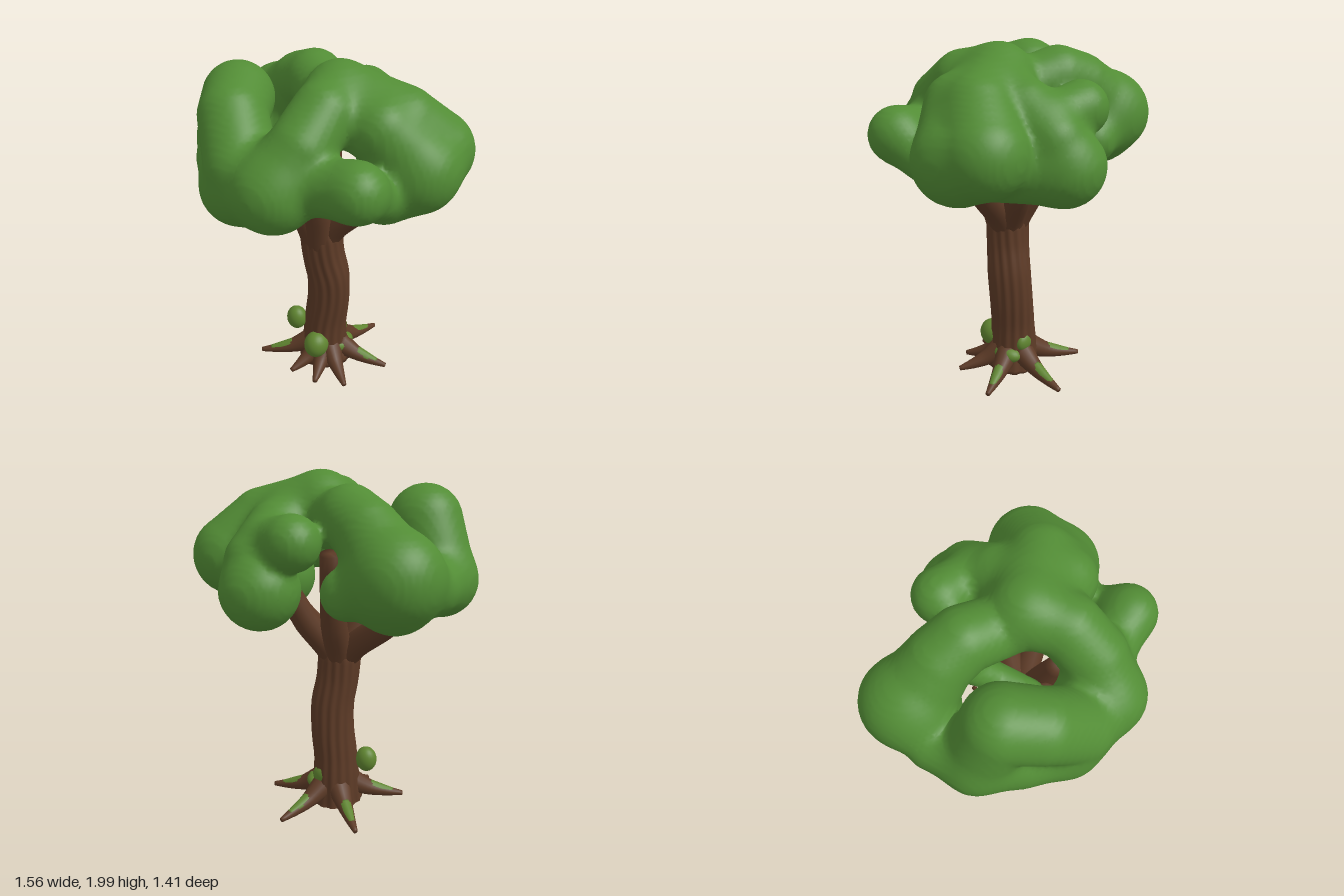
import * as THREE from 'three';

const V = (x, y, z) => new THREE.Vector3(x, y, z);
const bark = new THREE.MeshStandardMaterial({ color: 0x5c3a26 });
const leaf = new THREE.MeshStandardMaterial({ color: 0x528c35 });
const mossGreen = new THREE.MeshStandardMaterial({ color: 0x5f8430 });

function buildGeometry(positions, indices) {
  const g = new THREE.BufferGeometry();
  g.setAttribute('position', new THREE.Float32BufferAttribute(positions, 3));
  g.setIndex(indices);
  g.computeVertexNormals();
  return g;
}

// Tapered limb swept along a curve; nodes are [x, y, z, radius], groove = depth of bark ridges
function limb(nodes, { sides = 14, rings = 14, groove = 0 } = {}) {
  const curve = new THREE.CatmullRomCurve3(nodes.map(n => V(n[0], n[1], n[2])));
  const { normals, binormals } = curve.computeFrenetFrames(rings);
  const pos = [], idx = [];
  const ring = (i, scale) => {
    const t = i / rings, u = t * (nodes.length - 1), k = Math.min(Math.floor(u), nodes.length - 2);
    const c = curve.getPoint(t);
    const r = THREE.MathUtils.lerp(nodes[k][3], nodes[k + 1][3], u - k) * scale;
    for (let j = 0; j < sides; j++) {
      const a = j / sides * Math.PI * 2;
      const ridge = groove * scale * (Math.cos(a * 15 + Math.sin(t * 9)) + 0.6 * Math.sin(a * 4 + t * 5));
      const p = c.clone().addScaledVector(normals[i], Math.cos(a) * (r + ridge))
        .addScaledVector(binormals[i], Math.sin(a) * (r + ridge));
      pos.push(p.x, Math.max(0.01, p.y), p.z);
    }
  };
  ring(0, 0);
  for (let i = 0; i <= rings; i++) ring(i, 1);
  ring(rings, 0);
  for (let i = 0; i < rings + 2; i++) for (let j = 0; j < sides; j++) {
    const a = i * sides + j, b = i * sides + (j + 1) % sides;
    idx.push(a, b, b + sides, a, b + sides, a + sides);
  }
  return buildGeometry(pos, idx);
}

// Distance to a capsule whose ends are [x, y, z, radius]
function capsule(x, y, z, a, b) {
  const dx = b[0] - a[0], dy = b[1] - a[1], dz = b[2] - a[2];
  const px = x - a[0], py = y - a[1], pz = z - a[2];
  const t = Math.min(1, Math.max(0, (px * dx + py * dy + pz * dz) / (dx * dx + dy * dy + dz * dz)));
  return Math.hypot(px - dx * t, py - dy * t, pz - dz * t) - (a[3] + (b[3] - a[3]) * t);
}

// Skin of softly merged capsule chains, meshed on a regular grid
function blobs(runs, min, max, h, soft) {
  const n = [0, 1, 2].map(i => Math.ceil((max[i] - min[i]) / h) + 1);
  const step = [1, n[0], n[0] * n[1]];
  const field = new Float32Array(n[0] * n[1] * n[2]).fill(1);
  const each = (start, fn) => {
    for (let k = start; k < n[2] - 1; k++) for (let j = start; j < n[1] - 1; j++)
      for (let i = start; i < n[0] - 1; i++) fn(i, j, k, i + j * step[1] + k * step[2]);
  };
  each(0, (i, j, k, id) => {
    let d = 1;
    for (const run of runs) {
      let e = 1;
      for (let s = 1; s < run.length; s++)
        e = Math.min(e, capsule(min[0] + i * h, min[1] + j * h, min[2] + k * h, run[s - 1], run[s]));
      const m = Math.max(soft - Math.abs(d - e), 0) / soft;
      d = Math.min(d, e) - m * m * soft / 4;
    }
    field[id] = d;
  });
  // one vertex per crossed cell
  const pos = [], idx = [], cell = new Int32Array(field.length).fill(-1);
  each(0, (i, j, k, id) => {
    const sum = [0, 0, 0];
    let count = 0;
    for (let c = 0; c < 8; c++) for (let ax = 0; ax < 3; ax++) {
      if (c >> ax & 1) continue;
      const o = [c & 1, c >> 1 & 1, c >> 2 & 1];
      const p = id + o[0] + o[1] * step[1] + o[2] * step[2];
      const f = field[p], g = field[p + step[ax]];
      if ((f < 0) === (g < 0)) continue;
      o[ax] = f / (f - g);
      for (let q = 0; q < 3; q++) sum[q] += o[q];
      count++;
    }
    if (!count) return;
    cell[id] = pos.length / 3;
    [i, j, k].forEach((v, q) => pos.push(min[q] + (v + sum[q] / count) * h));
  });
  // one quad per crossed grid edge
  each(1, (i, j, k, id) => {
    for (let ax = 0; ax < 3; ax++) {
      const inside = field[id] < 0;
      if (inside === (field[id + step[ax]] < 0)) continue;
      const b = step[(ax + 1) % 3], c = step[(ax + 2) % 3];
      const q = [cell[id], cell[id - b], cell[id - b - c], cell[id - c]];
      if (!inside) q.reverse();
      idx.push(q[0], q[1], q[2], q[0], q[2], q[3]);
    }
  });
  return buildGeometry(pos, idx);
}

export function createModel() {
  const tree = new THREE.Group();
  tree.name = 'tree';
  const add = (name, geometry, material) => {
    const m = new THREE.Mesh(geometry, material);
    m.name = name;
    tree.add(m);
    return m;
  };

  // Swaying grooved trunk
  add('trunk', limb([
    [0, 0.01, -0.04, 0.16], [-0.01, 0.12, -0.05, 0.14], [-0.005, 0.3, -0.048, 0.129], [0.015, 0.48, -0.048, 0.128],
    [0.02, 0.64, -0.038, 0.127], [0, 0.8, -0.015, 0.122], [-0.01, 0.95, -0.005, 0.122], [-0.01, 1.08, 0, 0.09],
  ], { sides: 90, rings: 40, groove: 0.004 }), bark);

  // Branches reaching into the leaves
  [[-0.54, 1.34, -0.1], [0.42, 1.36, -0.06], [-0.12, 1.44, 0.22], [0.06, 1.44, 0.2],
    [-0.1, 1.6, -0.26], [0.2, 1.45, -0.28]].forEach(([x, y, z]) => {
    const l = Math.hypot(x, z);
    add('branch', limb([
      [x / l * 0.02 - 0.005, 0.76, z / l * 0.02, 0.06], [x / l * 0.05 - 0.01, 0.95, z / l * 0.05, 0.08],
      [x * 0.6, 1.18, z * 0.6, 0.075], [x, y, z, 0.055],
    ]), bark);
  });

  // Roots: tip x, tip z, mossy or not
  [[0.39, -0.14, 1], [0.27, 0.16, 0], [0.1, 0.235, 0], [-0.08, 0.23, 0], [-0.36, 0.17, 1],
    [-0.31, -0.34, 1], [0.12, -0.46, 1]].forEach(([x, z, mossy]) => {
    const dz = z + 0.05, at = (t, y, r) => [x * t, y, -0.05 + dz * t, r];
    add('root', limb([at(0.2, 0.13, 0.075), at(0.5, 0.07, 0.048), at(0.78, 0.04, 0.029), at(1, 0.025, 0.014)]), bark);
    if (mossy) add('rootMoss', limb([at(0.5, 0.08, 0.04), at(0.68, 0.056, 0.033), at(0.85, 0.04, 0.02)]), mossGreen);
  });

  // Moss clumps on the trunk: centre and half sizes
  [[-0.175, 0.28, 0.03, 0.065, 0.078, 0.06], [0.015, 0.185, 0.09, 0.075, 0.085, 0.08],
    [0.1, 0.13, -0.08, 0.06, 0.05, 0.09], [0.02, 0.2, -0.15, 0.07, 0.06, 0.04]].forEach(([x, y, z, a, b, c]) => {
    const m = add('mossClump', new THREE.SphereGeometry(1, 24, 16), mossGreen);
    m.position.set(x, y, z);
    m.scale.set(a, b, c);
  });

  // Leaf lobes shared by several runs
  const crown = [0.1, 1.8, -0.02, 0.185], front = [0.02, 1.44, 0.475, 0.22], frontRight = [-0.26, 1.355, 0.4, 0.21];
  const side = [-0.58, 1.45, 0.08, 0.19], rear = [-0.525, 1.54, -0.345, 0.225], east = [0.545, 1.52, -0.25, 0.225];
  const back = [0.19, 1.42, -0.49, 0.205], knob = [0, 1.68, -0.465, 0.15], bud = [0.46, 1.51, 0.39, 0.148];
  const eastLow = [0.4, 1.365, 0.01, 0.2];
  const runs = [
    // back left ridge over the crown and down to the front
    [rear, [-0.32, 1.73, -0.27, 0.18], [-0.19, 1.79, -0.21, 0.17], [-0.02, 1.74, -0.1, 0.16], crown,
      [0.13, 1.775, 0.19, 0.17], [0.11, 1.64, 0.36, 0.175], front],
    // lower rim round the left side
    [front, frontRight, [-0.45, 1.41, 0.25, 0.19], side, [-0.625, 1.46, -0.14, 0.15], rear],
    // front left lobe
    [side, [-0.45, 1.74, 0.15, 0.2], [-0.36, 1.7, 0.31, 0.19], [-0.21, 1.5, 0.44, 0.2], frontRight],
    // bud at the front, tied to both neighbours
    [[0.12, 1.47, 0.38, 0.16], bud], [bud, [0.46, 1.35, 0.12, 0.11]],
    // right lobe
    [crown, [0.42, 1.695, -0.12, 0.195], east, [0.54, 1.46, -0.08, 0.225], eastLow],
    [[0.2, 1.74, 0.04, 0.165], [0.38, 1.69, 0.03, 0.185], [0.55, 1.48, -0.08, 0.22]],
    // back lobes
    [[0.2, 1.74, -0.1, 0.18], [0.23, 1.69, -0.27, 0.165], [0.24, 1.56, -0.45, 0.165], back],
    [knob, [0.18, 1.66, -0.41, 0.125]],
    [[0.42, 1.42, -0.15, 0.18], back],
    [rear, [-0.28, 1.44, -0.39, 0.14]], [rear, [-0.5, 1.45, -0.3, 0.21]],
    // inner bridge
    [[-0.24, 1.6, -0.22, 0.09], [-0.17, 1.45, -0.04, 0.08], [-0.15, 1.42, 0.14, 0.075], [-0.22, 1.4, 0.3, 0.1]],
  ];
  add('canopy', blobs(runs, [-0.9, 1.05, -0.82], [0.9, 2.1, 0.82], 0.025, 0.05), leaf);
  return tree;
}
